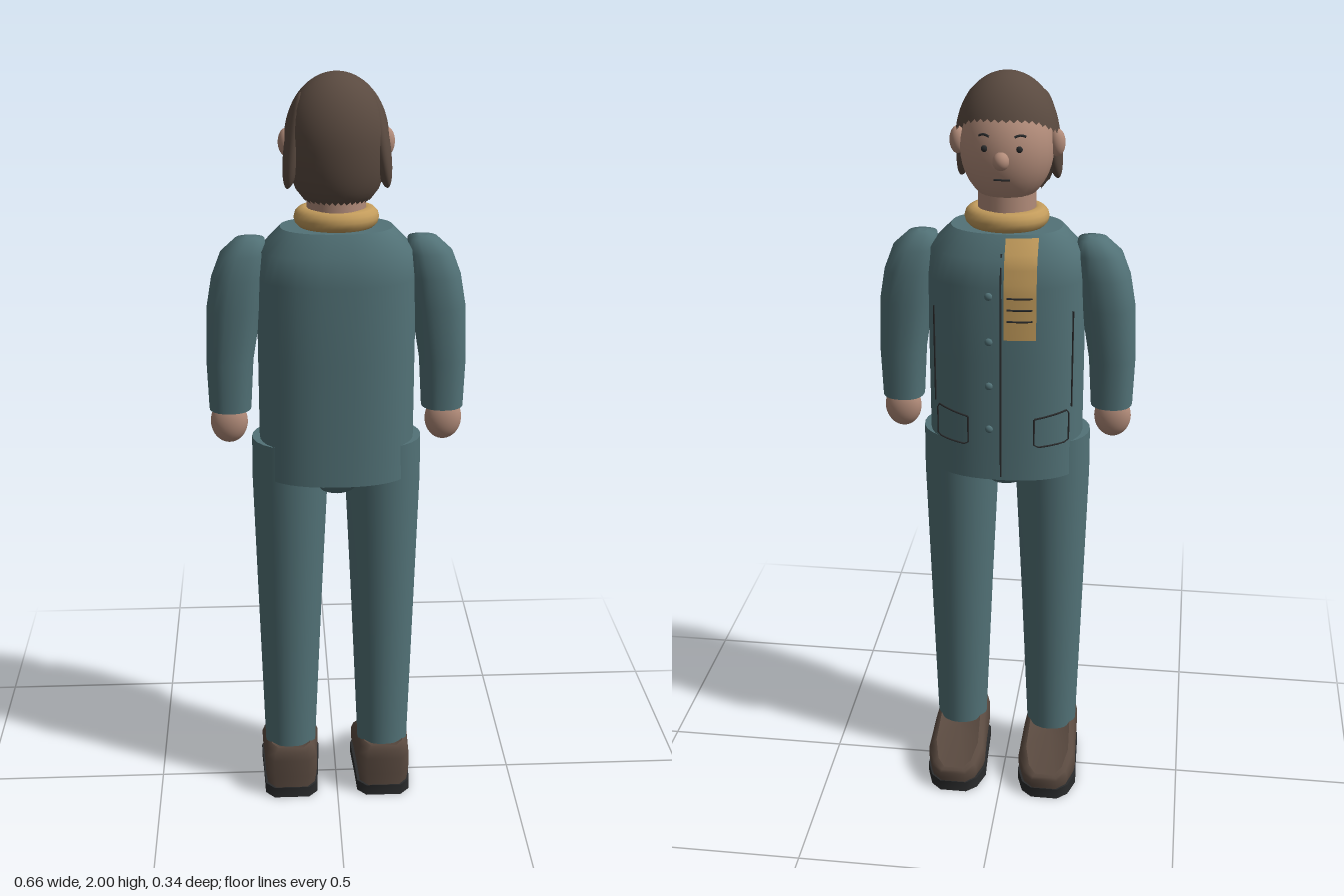
import * as THREE from 'three';

const mat = (name, color, side = THREE.FrontSide) => {
  const m = new THREE.MeshStandardMaterial({ color, side });
  m.name = name;
  return m;
};

// Loft through horizontal rings, bottom to top; ring(i, j) gives [x, y, z]
function loft(rows, n, ring) {
  const pos = [], idx = [];
  for (let i = 0; i < rows; i++) {
    for (let j = 0; j < n; j++) pos.push(...ring(i, j));
  }
  for (let i = 0; i < rows - 1; i++) {
    for (let j = 0; j < n; j++) {
      const a = i * n + j, b = i * n + (j + 1) % n;
      idx.push(a, a + n, b, b, a + n, b + n);
    }
  }
  // Flat caps with their own vertices keep the rims sharp
  for (const [row, up] of [[0, false], [rows - 1, true]]) {
    const base = pos.length / 3, c = [0, 0, 0];
    for (let j = 0; j < n; j++) {
      const p = ring(row, j);
      pos.push(...p);
      p.forEach((v, k) => { c[k] += v / n; });
    }
    pos.push(...c);
    for (let j = 0; j < n; j++) {
      const a = base + j, b = base + (j + 1) % n;
      idx.push(...(up ? [a, base + n, b] : [a, b, base + n]));
    }
  }
  const g = new THREE.BufferGeometry();
  g.setAttribute('position', new THREE.Float32BufferAttribute(pos, 3));
  g.setIndex(idx);
  g.computeVertexNormals();
  return g;
}

// Rows of [y, centre x, centre z, radius x, radius z]; power above 2 squares the outline
function ellipseLoft(rows, n = 24, power = 2) {
  const bend = v => Math.sign(v) * Math.abs(v) ** (2 / power);
  return loft(rows.length, n, (i, j) => {
    const [y, cx, cz, rx, rz] = rows[i], a = (j / n) * Math.PI * 2;
    return [cx + bend(Math.cos(a)) * rx, y, cz + bend(Math.sin(a)) * rz];
  });
}

const SQUARE = 2.35;
const TORSO = [
  [0.975, 0, 0.032, 0.2, 0.136], [1.07, 0, 0.032, 0.2, 0.136], [1.3, 0, 0.031, 0.2, 0.136],
  [1.5, 0, 0.031, 0.2, 0.136], [1.57, 0, 0.032, 0.193, 0.125], [1.625, 0, 0.033, 0.14, 0.092],
];

// Point on the chest side of the jacket, pushed out by off
function onJacket(x, y, off = 0.001) {
  let i = 0;
  while (i < TORSO.length - 2 && y > TORSO[i + 1][0]) i++;
  const a = TORSO[i], b = TORSO[i + 1], t = (y - a[0]) / (b[0] - a[0]);
  const [cz, rx, rz] = [2, 3, 4].map(k => a[k] + (b[k] - a[k]) * t);
  const depth = Math.max(0, 1 - Math.abs(x / rx) ** SQUARE) ** (1 / SQUARE);
  return new THREE.Vector3(x, y, cz - rz * depth - off);
}

// Point on the face, pushed out by off
const onFace = (x, y, off = 0.001) => new THREE.Vector3(x, y,
  0.032 - 0.115 * Math.sqrt(1 - (x / 0.115) ** 2 - ((y - 1.82) / 0.14) ** 2) - off);

// Shoe outline in plan around the foot centre
const FOOT = [[0.045, 0.127], [0.068, 0.1], [0.072, 0], [0.077, -0.09], [0.06, -0.145], [0.034, -0.17]];
const OUTLINE = [...FOOT, ...FOOT.map(([x, z]) => [-x, z]).reverse()];

// Rows of [share of the sloping upper's height, width scale, length scale]
const shoeUpper = (rows, cx) => loft(rows.length, OUTLINE.length, (i, j) => {
  const [h, sx, sz] = rows[i], [x, z] = OUTLINE[j];
  const zz = -0.02 + (z + 0.02) * sz;
  const top = 0.157 - 0.085 * THREE.MathUtils.clamp((0.01 - zz) / 0.17, 0, 1);
  return [cx - x * sx, 0.03 + (top - 0.03) * h, zz];
});

export function createModel() {
  const root = new THREE.Group();
  root.name = 'standingMan';
  const cloth = mat('teal cloth', 0x527277);
  const brown = mat('dark brown', 0x5a4a40, THREE.DoubleSide);
  const skin = mat('skin', 0xb18b79);
  const tan = mat('tan scarf', 0xc39c5c, THREE.DoubleSide);
  const dark = mat('dark trim', 0x2a2b2c);

  const add = (name, geo, m, p = [0, 0, 0], s = [1, 1, 1]) => {
    const mesh = new THREE.Mesh(geo, m);
    mesh.name = name;
    mesh.position.set(...p);
    mesh.scale.set(...s);
    root.add(mesh);
    return mesh;
  };
  const ball = new THREE.SphereGeometry(1, 28, 20);
  const line = (name, pts, r = 0.0025) => {
    const path = new THREE.CurvePath();
    for (let i = 1; i < pts.length; i++) path.add(new THREE.LineCurve3(pts[i - 1], pts[i]));
    add(name, new THREE.TubeGeometry(path, (pts.length - 1) * 2, r, 5), dark);
  };
  const run = (n, f) => Array.from({ length: n + 1 }, (_, i) => f(i / n));

  // Jacket body and seat of the trousers
  add('jacket', ellipseLoft(TORSO, 40, SQUARE), cloth);
  add('trouserSeat', ball, cloth, [0, 1.0, 0.033], [0.092, 0.09, 0.105]);

  for (const [side, s] of [['left', 1], ['right', -1]]) {
    // Limbs
    add(side + 'Leg', ellipseLoft([
      [0.14, s * 0.13, 0.035, 0.07, 0.07], [0.6, s * 0.126, 0.035, 0.086, 0.084],
      [0.95, s * 0.122, 0.035, 0.099, 0.096], [1.07, s * 0.12, 0.035, 0.1, 0.098],
    ]), cloth);
    add(side + 'Sleeve', ellipseLoft([
      [1.15, s * 0.274, 0.035, 0.054, 0.054], [1.28, s * 0.272, 0.035, 0.06, 0.061],
      [1.42, s * 0.258, 0.034, 0.069, 0.068], [1.5, s * 0.246, 0.034, 0.067, 0.067],
      [1.56, s * 0.231, 0.034, 0.059, 0.059], [1.595, s * 0.215, 0.034, 0.037, 0.038],
      [1.6, s * 0.215, 0.034, 0.012, 0.012],
    ], 24, 2.3), cloth);
    add(side + 'Hand', ball, skin, [s * 0.278, 1.113, 0.037], [0.048, 0.058, 0.034]);

    // Shoes
    add(side + 'Sole', loft(2, OUTLINE.length, (i, j) =>
      [s * 0.13 - OUTLINE[j][0] * 1.08, i * 0.032, OUTLINE[j][1]]), dark);
    add(side + 'Shoe', shoeUpper([
      [0, 0.97, 0.985], [0.3, 1.05, 0.995], [0.7, 1.05, 0.995], [0.92, 0.96, 0.98], [1, 0.78, 0.92],
    ], s * 0.13), brown);

    // Jacket seams and pocket outlines
    line(side + 'Seam', run(4, t => onJacket(s * 0.176, 1.17 + 0.26 * t)));
    line(side + 'Pocket', [
      ...run(4, t => onJacket(s * (0.085 + 0.085 * t), 1.15 + 0.015 * t)),
      ...run(1, t => onJacket(s * 0.17, 1.165 - 0.09 * t)).slice(1),
      ...run(4, t => onJacket(s * (0.17 - 0.085 * t), 1.075 - 0.005 * t)).slice(1),
      onJacket(s * 0.085, 1.15),
    ]);

    // Ears, side hair, eyes and brows
    add(side + 'Ear', ball, skin, [s * 0.122, 1.832, 0.034], [0.02, 0.034, 0.02]);
    const lock = add(side + 'HairLock', ball, brown, [s * 0.103, 1.842, 0.072], [0.023, 0.115, 0.042]);
    lock.rotation.set(-0.15, 0, s * 0.16);
    add(side + 'Eye', ball, dark, onFace(s * 0.042, 1.84, 0).toArray(), [0.008, 0.008, 0.005]);
    line(side + 'Brow', run(4, t => onFace(s * (0.03 + 0.026 * t), 1.868 + 0.004 * Math.sin(t * Math.PI))), 0.003);
  }

  // Front closure and cloth buttons
  line('frontSeam', run(10, t => onJacket(0, 0.985 + 0.6 * t)));
  for (const y of [1.12, 1.24, 1.36, 1.48]) {
    add('button', ball, cloth, onJacket(0.03, y).toArray(), [0.01, 0.01, 0.006]);
  }

  // Scarf collar with one hanging end and its stripes
  const collar = add('scarfCollar', new THREE.TorusGeometry(0.08, 0.026, 12, 32), tan, [0, 1.648, 0.03]);
  collar.rotation.x = Math.PI / 2;
  collar.scale.y = 0.86;
  const end = new THREE.PlaneGeometry(0.08, 0.25, 6, 14);
  const p = end.attributes.position;
  for (let i = 0; i < p.count; i++) {
    const v = onJacket(p.getX(i) - 0.049, Math.min(p.getY(i) + 1.495, 1.62), 0.009);
    p.setXYZ(i, v.x, v.y, v.z);
  }
  end.computeVertexNormals();
  add('scarfEnd', end, tan);
  for (const y of [1.42, 1.45, 1.48]) {
    line('scarfStripe', run(4, t => onJacket(-0.08 + 0.064 * t, y, 0.01)));
  }

  // Neck, head, nose and mouth
  add('neck', new THREE.CylinderGeometry(0.072, 0.074, 0.13, 24), skin, [0, 1.685, 0.032]);
  add('head', ball, skin, [0, 1.82, 0.032], [0.115, 0.14, 0.115]);
  add('nose', ball, skin, [0, 1.815, -0.093], [0.02, 0.022, 0.02]);
  line('mouth', run(4, t => onFace(-0.02 + 0.04 * t, 1.765)));

  // Hair cap: a dome cut high over the brow and low at the nape
  const hair = new THREE.SphereGeometry(1, 40, 24);
  const h = hair.attributes.position, uv = hair.attributes.uv;
  for (let i = 0; i < h.count; i++) {
    const a = uv.getX(i) * Math.PI * 2, back = Math.sin(a);
    const low = 1.9 - 0.045 * THREE.MathUtils.smoothstep(back, -1, -0.1)
      - 0.16 * THREE.MathUtils.smoothstep(back, -0.15, 0.6);
    const t = (1 - uv.getY(i)) * Math.acos((low - 1.84) / 0.16);
    const r = Math.sin(t) ** (t > Math.PI / 2 ? 0.45 : 1);
    h.setXYZ(i, -Math.cos(a) * r * 0.127, 1.84 + Math.cos(t) * 0.16, 0.042 + back * r * 0.118);
  }
  hair.computeVertexNormals();
  add('hair', hair, brown);

  return root;
}
